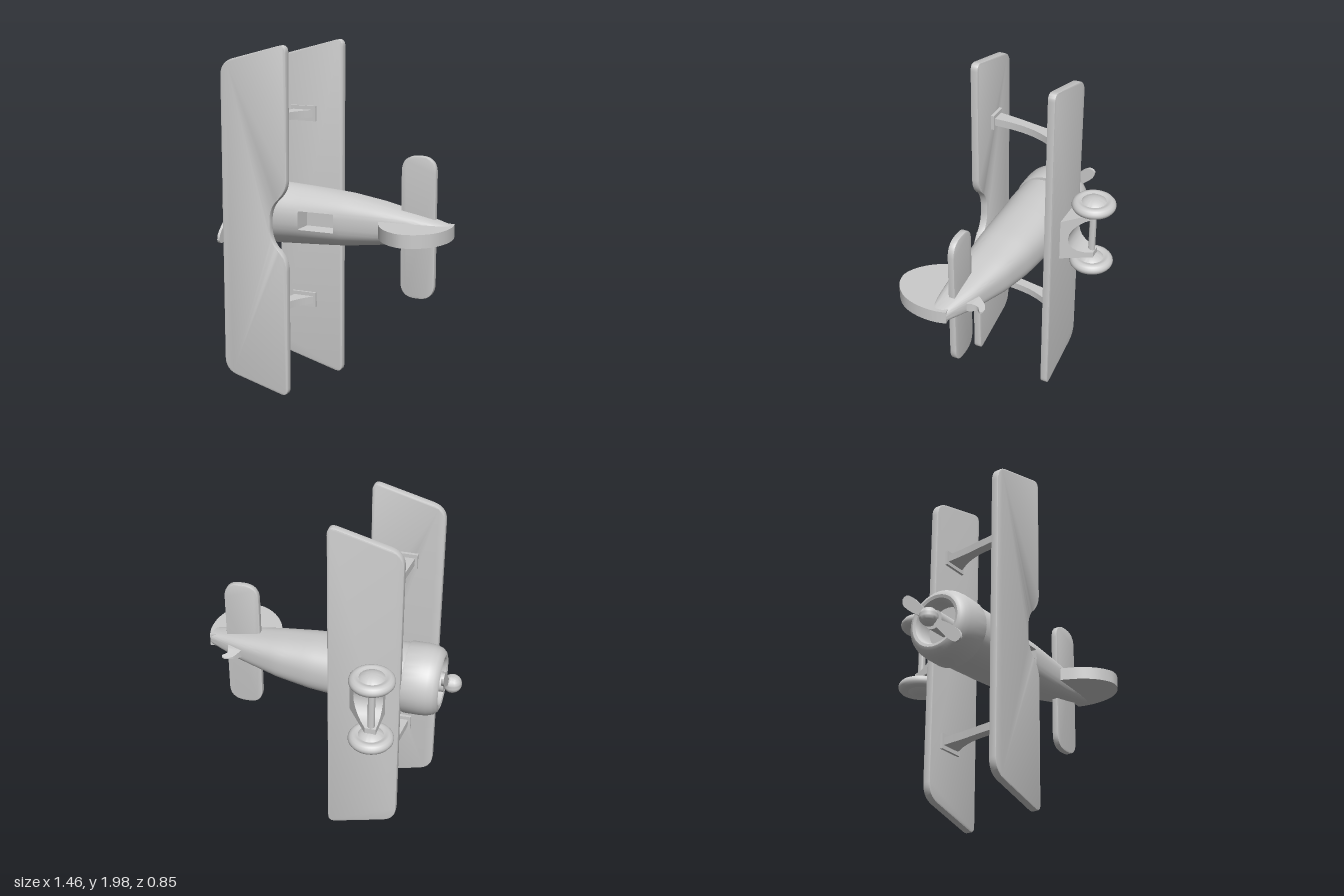
import * as THREE from 'three';
import { toCreasedNormals } from 'three/addons/utils/BufferGeometryUtils.js';

// Plane's own frame: x runs nose to tail, y along the span, z towards the upper wing.
const grey = new THREE.MeshStandardMaterial({ color: 0xcccccc, side: THREE.DoubleSide });
const V = (x, y) => new THREE.Vector2(x, y);

function add(parent, name, geo, x = 0, y = 0, z = 0, crease = 0.6) {
  const m = new THREE.Mesh(toCreasedNormals(geo, crease), grey);
  m.name = name;
  m.position.set(x, y, z);
  parent.add(m);
  return m;
}

// Closed outline from [x, y, cornerRadius] points
function roundedShape(pts) {
  const s = new THREE.Shape();
  pts.forEach(([x, y, r = 0], i) => {
    const p = V(x, y);
    const prev = V(...pts[(i + pts.length - 1) % pts.length]);
    const next = V(...pts[(i + 1) % pts.length]);
    const a = prev.sub(p).setLength(r).add(p);
    const b = next.sub(p).setLength(r).add(p);
    i ? s.lineTo(a.x, a.y) : s.moveTo(a.x, a.y);
    if (r) s.quadraticCurveTo(x, y, b.x, b.y);
  });
  s.closePath();
  return s;
}

// Slab centred on z = 0
function slab(shape, t, bevel = 0) {
  const g = new THREE.ExtrudeGeometry(shape, {
    depth: t - 2 * bevel, curveSegments: 10, bevelEnabled: bevel > 0,
    bevelSize: bevel, bevelOffset: -bevel, bevelThickness: bevel, bevelSegments: 2,
  });
  return g.translate(0, 0, bevel - t / 2);
}
// Side profile in x/z with its thickness along y
const sidePlate = (shape, t, bevel) => slab(shape, t, bevel).rotateX(Math.PI / 2);

// Fuselage stations: [x, top z, bottom z, half width]
const STATIONS = [
  [-0.45, 0.075, -0.295, 0.178], [-0.3, 0.08, -0.292, 0.174], [-0.15, 0.077, -0.285, 0.165],
  [0, 0.074, -0.27, 0.154], [0.1, 0.071, -0.257, 0.146], [0.3, 0.062, -0.217, 0.118],
  [0.55, 0.048, -0.14, 0.073], [0.731, 0.035, -0.065, 0.035],
];
function station(x) {
  let i = 0;
  while (i < STATIONS.length - 2 && x > STATIONS[i + 1][0]) i++;
  const a = STATIONS[i], b = STATIONS[i + 1], k = (x - a[0]) / (b[0] - a[0]);
  return a.map((v, j) => v + (b[j] - v) * k);
}

// Lofted body of superellipse sections with the cockpit pressed into its top
function fuselageGeometry() {
  const x0 = -0.15, x1 = 0.066, e = 0.004, half = 0.054;
  const xs = [x0, x0 + e, x1 - e, x1];
  for (let i = 0; i <= 30; i++) {
    const x = -0.45 + (1.181 * i) / 30;
    if ([x0, x1].every((c) => Math.abs(x - c) > 0.012)) xs.push(x);
  }
  xs.sort((a, b) => a - b);
  const pos = [], idx = [];
  let n = 0;
  const rings = [...xs.map((x) => [x, 1]), [0.731, 0.001]];
  rings.forEach(([x, scale]) => {
    const [, top, bottom, w] = station(x);
    const zc = (top + bottom) / 2, h = (top - bottom) / 2;
    const p = 2.2 + 0.8 * Math.max(0, Math.min(1, (x + 0.2) / 0.7));
    const at = (s) => Math.acos(Math.pow(Math.min(s / w, 0.55), p / 2));
    const tEdge = at(half), tIn = at(half - e), ts = [];
    for (let i = 0; i < 12; i++) ts.push((tEdge * i) / 12);
    ts.push(tEdge, tIn, (tIn + Math.PI / 2) / 2, Math.PI / 2);
    for (let i = ts.length - 2; i >= 0; i--) ts.push(Math.PI - ts[i]);
    for (let i = 1; i < 32; i++) ts.push(Math.PI * (1 + i / 32));
    n = ts.length;
    ts.forEach((t) => {
      const c = Math.cos(t), s = Math.sin(t);
      const y = w * Math.sign(c) * Math.pow(Math.abs(c), 2 / p);
      let z = h * Math.sign(s) * Math.pow(Math.abs(s), 2 / p);
      const inside = x > x0 + e / 2 && x < x1 - e / 2 && s > 0 && Math.abs(y) < half - e / 2;
      if (inside) z = -0.04 - zc;
      pos.push(x, y * scale, zc + z * scale);
    });
  });
  for (let s = 0; s < rings.length - 1; s++) {
    for (let i = 0; i < n; i++) {
      const j = (i + 1) % n, a = s * n + i, b = s * n + j;
      idx.push(a, b, b + n, a, b + n, a + n);
    }
  }
  const g = new THREE.BufferGeometry();
  g.setAttribute('position', new THREE.Float32BufferAttribute(pos, 3));
  g.setIndex(idx);
  return g;
}

// Wing planform; cutout is the depth of the notch in the trailing edge
function wingShape(front, back, cutout) {
  const half = [[back, 1, 0.05], [front, 0.89, 0.08]];
  const notch = cutout ? [
    [back, -0.19, 0.07], [back - cutout, -0.1, 0.08], [back - cutout, 0.1, 0.08], [back, 0.19, 0.07],
  ] : [];
  return roundedShape([...notch, ...half, ...half.map(([x, y, r]) => [x, -y, r]).reverse()]);
}

export function createModel() {
  const model = new THREE.Group();
  model.name = 'biplane';
  const plane = new THREE.Group();
  plane.name = 'airframe';
  plane.rotation.y = Math.PI / 8;
  plane.position.y = 1;
  model.add(plane);
  const axisZ = -0.115;

  add(plane, 'fuselage', fuselageGeometry());

  // Engine cowling with open front
  const cowl = [[0, 0], [0.196, 0], [0.2, 0.01], [0.2, 0.1], [0.196, 0.14], [0.185, 0.172], [0.168, 0.193],
    [0.15, 0.2], [0.133, 0.195], [0.124, 0.18], [0.121, 0.16], [0.121, 0.09], [0, 0.09]];
  add(plane, 'cowling', new THREE.LatheGeometry(cowl.map((p) => V(...p)), 64).rotateZ(Math.PI / 2), -0.43, 0, axisZ);

  // Propeller
  add(plane, 'propellerShaft', new THREE.CylinderGeometry(0.055, 0.055, 0.13, 32).rotateZ(Math.PI / 2), -0.575, 0, axisZ);
  add(plane, 'spinner', new THREE.SphereGeometry(0.052, 32, 20), -0.682, 0, axisZ, 1);
  const blade = new THREE.Shape([V(0, -0.018), V(0.06, -0.02)]);
  blade.splineThru([V(0.14, -0.034), V(0.22, -0.034), V(0.255, -0.015), V(0.26, 0.005), V(0.245, 0.026),
    V(0.2, 0.034), V(0.13, 0.028), V(0.06, 0.02), V(0, 0.018)]);
  for (const turn of [0, Math.PI]) {
    add(plane, 'propellerBlade', slab(blade, 0.016).rotateZ(0.73 + turn).rotateY(Math.PI / 2), -0.657, 0, axisZ);
  }

  // Wings and tailplane
  add(plane, 'upperWing', slab(wingShape(-0.545, -0.143, 0.105), 0.044, 0.006), 0, 0, 0.207);
  add(plane, 'lowerWing', slab(wingShape(-0.432, -0.03, 0), 0.044, 0.006), 0, 0, -0.296);
  const tail = [[0.432, -0.4, 0.09], [0.63, -0.4, 0.09], [0.63, 0.4, 0.09], [0.432, 0.4, 0.09]];
  add(plane, 'tailplane', slab(roundedShape(tail), 0.036, 0.004), 0, 0, -0.046);

  // Fin and rudder
  const fin = new THREE.Shape([V(0.4, -0.02), V(0.332, 0.06)]);
  fin.splineThru([V(0.371, 0.148), V(0.412, 0.208), V(0.467, 0.258), V(0.53, 0.288), V(0.585, 0.286), V(0.638, 0.264),
    V(0.688, 0.22), V(0.72, 0.169), V(0.742, 0.091), V(0.745, 0.005), V(0.731, -0.065)]);
  add(plane, 'fin', sidePlate(fin, 0.074));

  // Tail skid, thinner towards its tip
  const skid = new THREE.Shape([V(0.6, -0.1), V(0.51, -0.13), V(0.518, -0.153)]);
  skid.splineThru([V(0.546, -0.196), V(0.57, -0.212), V(0.588, -0.217), V(0.605, -0.213), V(0.613, -0.2),
    V(0.594, -0.184), V(0.589, -0.167), V(0.603, -0.124)]);
  const skidGeo = sidePlate(skid, 0.05);
  const sp = skidGeo.attributes.position;
  for (let i = 0; i < sp.count; i++) sp.setY(i, sp.getY(i) * Math.max(0.15, Math.min(1, (sp.getZ(i) + 0.225) / 0.08)));
  add(plane, 'tailSkid', skidGeo);

  // Wing struts with pads
  const strut = new THREE.Shape([V(-0.21, -0.275), V(-0.21, -0.262)]);
  strut.splineThru([V(-0.265, -0.17), V(-0.301, -0.07), V(-0.317, 0.05), V(-0.315, 0.18)]);
  strut.lineTo(-0.393, 0.18);
  strut.splineThru([V(-0.375, 0.03), V(-0.353, -0.114), V(-0.337, -0.262)]);
  strut.lineTo(-0.337, -0.275);
  for (const side of [-1, 1]) {
    const y = side * 0.56;
    add(plane, 'wingStrut', sidePlate(strut, 0.044), 0, y);
    add(plane, 'lowerStrutPad', new THREE.BoxGeometry(0.155, 0.088, 0.018), -0.273, y, -0.268);
    add(plane, 'upperStrutPad', new THREE.BoxGeometry(0.105, 0.088, 0.02), -0.354, y, 0.177);
  }

  // Landing gear: forked leg narrowing towards the axle
  const axle = { x: -0.31, z: -0.453 };
  const fork = new THREE.Shape([V(-0.125, -0.31), V(-0.15, -0.475), V(-0.115, -0.475)]);
  fork.bezierCurveTo(-0.1, -0.315, 0.1, -0.315, 0.115, -0.475);
  fork.lineTo(0.15, -0.475);
  fork.lineTo(0.125, -0.31);
  const forkGeo = slab(fork, 1).rotateY(Math.PI / 2).rotateX(Math.PI / 2);
  const fp = forkGeo.attributes.position;
  for (let i = 0; i < fp.count; i++) {
    const k = Math.min(1, (-0.31 - fp.getZ(i)) / 0.165);
    fp.setX(i, fp.getX(i) > 0 ? -0.15 - 0.13 * k : -0.355 + 0.015 * k);
  }
  add(plane, 'landingGearFork', forkGeo);
  add(plane, 'axle', new THREE.CylinderGeometry(0.02, 0.02, 0.4, 24), axle.x, 0, axle.z);

  // Wheels with domed hubs
  const halfWheel = [[0, 0.047], [0.03, 0.044], [0.055, 0.036], [0.07, 0.024], [0.074, 0.024], [0.085, 0.031],
    [0.1, 0.031], [0.114, 0.024], [0.123, 0.012]];
  const wheel = [...halfWheel.map(([r, y]) => V(r, -y)), V(0.126, 0), ...halfWheel.map(([r, y]) => V(r, y)).reverse()];
  for (const side of [-1, 1]) {
    add(plane, 'wheel', new THREE.LatheGeometry(wheel, 48), axle.x, side * 0.192, axle.z);
  }
  return model;
}
